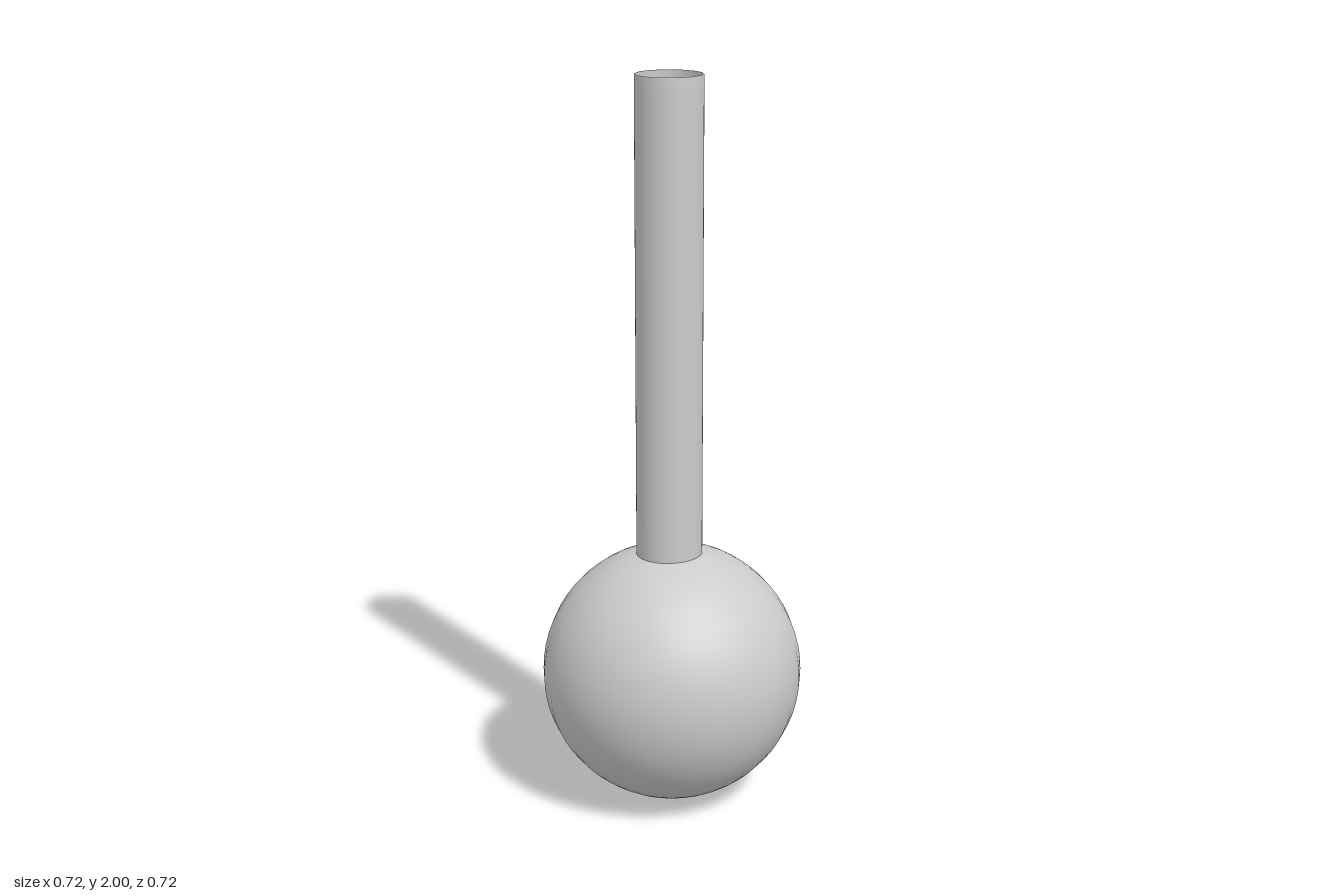
import * as THREE from 'three';

export function createModel() {
  const group = new THREE.Group();
  const material = new THREE.MeshStandardMaterial({ color: 0xcccccc, side: THREE.DoubleSide });

  // Round bulb resting on the ground
  const radius = 0.358;
  const bulb = new THREE.Mesh(new THREE.SphereGeometry(radius, 32, 32), material);
  bulb.name = 'bulb';
  bulb.position.y = radius;
  group.add(bulb);

  // Thin open tube, slightly off centre, with a softly turned lip
  const profile = [[0.09, 0.68], [0.09, 1.95], [0.09, 1.998], [0.088, 2]]
    .map(([r, y]) => new THREE.Vector2(r, y));
  const neck = new THREE.Mesh(new THREE.LatheGeometry(profile, 48), material);
  neck.name = 'neck';
  neck.position.set(-0.005, 0, 0.005);
  group.add(neck);

  return group;
}
